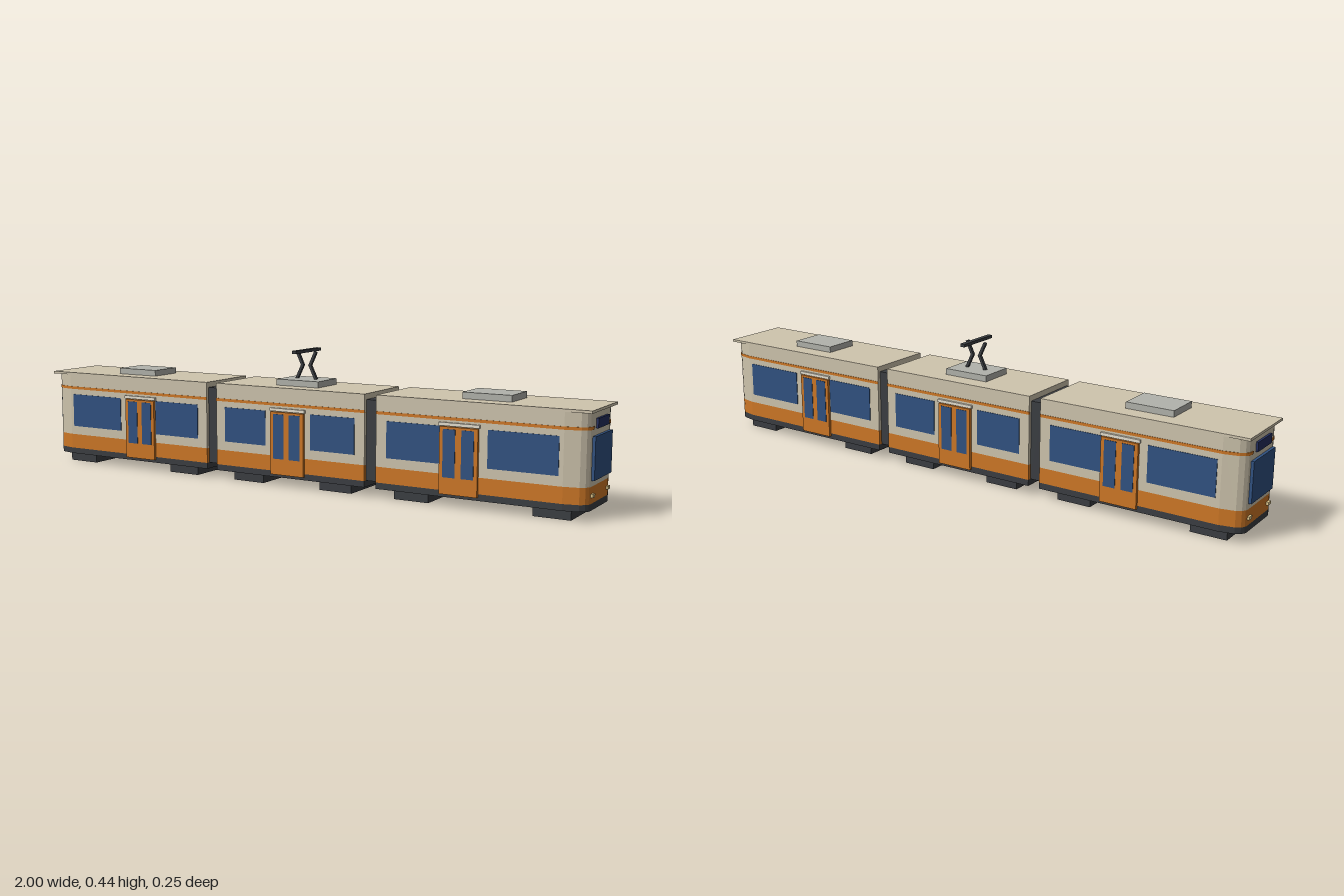
import * as THREE from 'three';

const paint = (color) => new THREE.MeshStandardMaterial({ color, flatShading: true });
const MAT = {
  cream: paint(0xcfc5ae), orange: paint(0xcf7826), glass: paint(0x315282), dark: paint(0x3b3e42),
  sign: paint(0x242f5e), grey: paint(0xb2b3ac), lamp: paint(0xe2c98c), pale: paint(0xe6e0d0),
};
const HALF = 0.117; // half width of the body
const NOSE = 0.99;  // x of the cab's end wall

// Box given by its limits on each axis
function box(parent, name, mat, [x0, x1], [y0, y1], [z0, z1]) {
  const mesh = new THREE.Mesh(new THREE.BoxGeometry(x1 - x0, y1 - y0, z1 - z0), mat);
  mesh.position.set((x0 + x1) / 2, (y0 + y1) / 2, (z0 + z1) / 2);
  mesh.name = name;
  parent.add(mesh);
  return mesh;
}

// Same box on both long sides of the car
function sideBoxes(parent, name, mat, xs, ys, zInner, zOuter) {
  box(parent, name + 'Front', mat, xs, ys, [zInner, zOuter]);
  box(parent, name + 'Back', mat, xs, ys, [-zOuter, -zInner]);
}

// Layer of a cab car: plan with faceted elliptical nose corners, raised between y0 and y1
function cabLayer(parent, name, mat, [y0, y1], grow = 0, notch = 0) {
  const corner = [];
  for (let i = 0; i <= 4; i++) {
    const t = 1 - i / 4;
    corner.push([0.92 + grow + (NOSE - 0.92) * Math.sqrt(1 - t * t), 0.078 + grow + 0.039 * t]);
  }
  const half = [[0.32, HALF + grow], ...corner];
  if (notch) half.push([NOSE + grow, notch], [0.96, notch]);
  const pts = [...half, ...half.map(([x, z]) => [x, -z]).reverse()];
  const shape = new THREE.Shape(pts.map(([x, z]) => new THREE.Vector2(x, z)));
  const geo = new THREE.ExtrudeGeometry(shape, { depth: y1 - y0, bevelEnabled: false });
  geo.rotateX(-Math.PI / 2).translate(0, y0, 0);
  const mesh = new THREE.Mesh(geo, mat);
  mesh.name = name;
  parent.add(mesh);
}

// Double door with two panes and a pale rail above
function addDoors(car, x) {
  sideBoxes(car, 'door', MAT.orange, [x - 0.062, x + 0.062], [0.04, 0.245], HALF - 0.005, 0.126);
  for (const s of [-1, 1]) {
    const c = x + s * 0.03;
    sideBoxes(car, 'doorPane', MAT.glass, [c - 0.02, c + 0.02], [0.092, 0.238], 0.124, 0.1275);
  }
  sideBoxes(car, 'doorRail', MAT.pale, [x - 0.066, x + 0.066], [0.247, 0.257], HALF - 0.005, 0.124);
}

function addWindows(car, spans) {
  for (const xs of spans) sideBoxes(car, 'window', MAT.glass, xs, [0.13, 0.245], HALF - 0.005, HALF + 0.002);
}

function addBogies(car, centers) {
  for (const c of centers) box(car, 'bogie', MAT.dark, [c - 0.058, c + 0.058], [0, 0.035], [-0.097, 0.097]);
}

function addRoofUnit(car, x) {
  box(car, 'roofUnit', MAT.grey, [x - 0.079, x + 0.079], [0.32, 0.343], [-0.059, 0.059]);
}

// End car, with its cab towards +x
function cabCar() {
  const car = new THREE.Group();
  cabLayer(car, 'skirt', MAT.dark, [0.03, 0.05]);
  cabLayer(car, 'lowerBand', MAT.orange, [0.05, 0.1]);
  cabLayer(car, 'body', MAT.cream, [0.1, 0.315]);
  cabLayer(car, 'stripe', MAT.orange, [0.264, 0.273], 0.0015, 0.068);
  box(car, 'roof', MAT.cream, [0.32, 1], [0.315, 0.323], [-HALF, HALF]);
  addWindows(car, [[0.357, 0.535], [0.69, 0.907]]);
  addDoors(car, 0.6);
  addBogies(car, [0.433, 0.883]);
  addRoofUnit(car, 0.66);
  // cab end wall
  box(car, 'windscreen', MAT.glass, [NOSE - 0.005, 0.999], [0.118, 0.245], [-0.078, 0.078]);
  box(car, 'destinationPanel', MAT.sign, [NOSE - 0.005, 0.997], [0.265, 0.294], [-0.05, 0.05]);
  for (const s of [-1, 1])
    box(car, 'headlight', MAT.lamp, [NOSE - 0.005, 0.997], [0.069, 0.079], [s * 0.069 - 0.0095, s * 0.069 + 0.0095]);
  return car;
}

function middleCar() {
  const car = new THREE.Group();
  const xs = [-0.28, 0.28], zs = [-HALF, HALF];
  box(car, 'skirt', MAT.dark, xs, [0.03, 0.05], zs);
  box(car, 'lowerBand', MAT.orange, xs, [0.05, 0.1], zs);
  box(car, 'body', MAT.cream, xs, [0.1, 0.315], zs);
  box(car, 'roof', MAT.cream, xs, [0.315, 0.323], zs);
  sideBoxes(car, 'stripe', MAT.orange, xs, [0.264, 0.273], HALF - 0.005, HALF + 0.0015);
  addWindows(car, [[-0.245, -0.085], [0.085, 0.245]]);
  addDoors(car, 0);
  addBogies(car, [-0.165, 0.165]);
  addRoofUnit(car, 0);
  return car;
}

// Current collector: two bent arms under a crosswise contact bar
function pantograph() {
  const group = new THREE.Group();
  const arm = (x0, y0, x1, y1) => {
    const dx = x1 - x0, dy = y1 - y0;
    const mesh = new THREE.Mesh(new THREE.BoxGeometry(0.009, Math.hypot(dx, dy) + 0.006, 0.01), MAT.dark);
    mesh.position.set((x0 + x1) / 2, (y0 + y1) / 2, 0);
    mesh.rotation.z = Math.atan2(-dx, dy);
    mesh.name = 'collectorArm';
    group.add(mesh);
  };
  for (const s of [-1, 1]) {
    arm(s * 0.035, 0.345, s * 0.014, 0.388);
    arm(s * 0.014, 0.388, s * 0.034, 0.43);
  }
  box(group, 'contactBar', MAT.dark, [-0.008, 0.008], [0.43, 0.44], [-0.078, 0.078]);
  return group;
}

export function createModel() {
  const tram = new THREE.Group();
  tram.name = 'tram';
  const add = (name, part) => { part.name = name; tram.add(part); return part; };
  add('leftCar', cabCar());
  add('rightCar', cabCar()).rotation.y = Math.PI;
  add('middleCar', middleCar());
  add('pantograph', pantograph());
  // bellows joining the cars
  for (const s of [-1, 1])
    box(tram, 'bellows', MAT.dark, [s * 0.3 - 0.022, s * 0.3 + 0.022], [0.05, 0.305], [-0.105, 0.105]);
  return tram;
}
